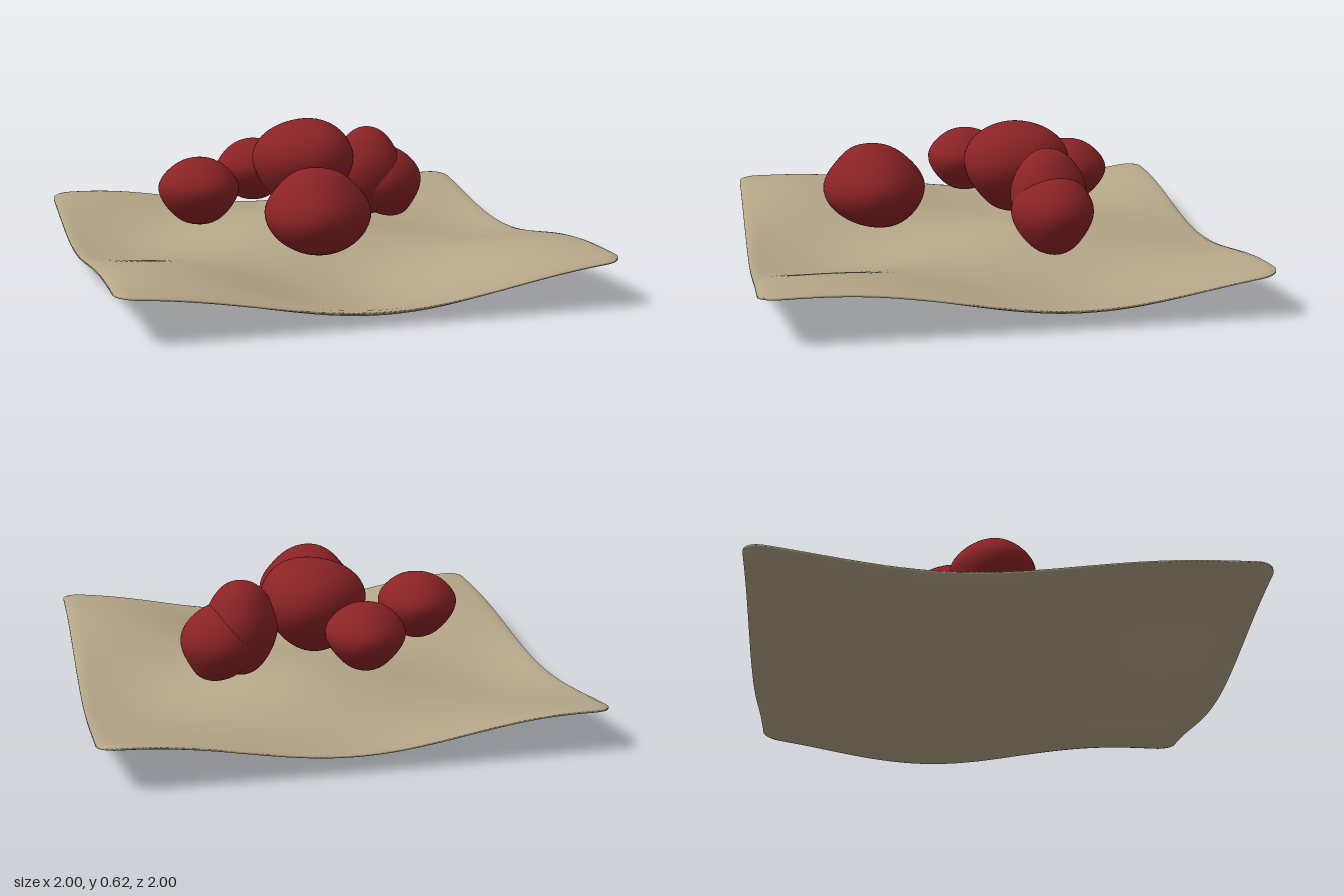
import * as THREE from 'three';
import { mergeVertices } from 'three/addons/utils/BufferGeometryUtils.js';

const clothColor = new THREE.MeshStandardMaterial({ color: 0xb5a688 });
clothColor.name = 'tan cloth';
const berryColor = new THREE.MeshStandardMaterial({ color: 0x8b2325 });
berryColor.name = 'dark red';

// Share vertices so that the whole surface is smooth
function smooth(geometry) {
  geometry.deleteAttribute('normal');
  geometry.deleteAttribute('uv');
  const merged = mergeVertices(geometry, 1e-5);
  merged.computeVertexNormals();
  return merged;
}

// Height of the middle of the cloth: crossed waves in a shallow bowl
function clothHeight(x, z) {
  const wave = (0.063 + 0.014 * z) * Math.cos(3.9 * (x - 0.03)) * Math.cos(3.4 * (z + 0.27));
  const back = 0.025 * Math.min(z, 0) ** 2;
  const front = 0.045 * x * x * Math.max(z, 0) ** 4;
  return 0.081 + 0.035 * x * x + wave + back + front;
}

// Thin sheet with rounded corners and a soft rim
function makeCloth() {
  const geometry = new THREE.BoxGeometry(2, 2, 2, 100, 2, 100);
  const p = geometry.attributes.position;
  const corner = 0.08;
  for (let i = 0; i < p.count; i++) {
    let x = p.getX(i), z = p.getZ(i);
    const rim = Math.min(1, (1 - Math.max(Math.abs(x), Math.abs(z))) / 0.06);
    const half = 0.004 + 0.008 * Math.sqrt(rim * (2 - rim));
    // Pull each square corner onto a quarter circle
    const a = Math.abs(x) - 1 + corner, b = Math.abs(z) - 1 + corner;
    if (a > 0 && b > 0) {
      const k = Math.max(a, b) / Math.hypot(a, b);
      x = Math.sign(x) * (1 - corner + a * k);
      z = Math.sign(z) * (1 - corner + b * k);
    }
    p.setXYZ(i, x, clothHeight(x, z) + p.getY(i) * half, z);
  }
  const cloth = new THREE.Mesh(smooth(geometry), clothColor);
  cloth.name = 'cloth';
  return cloth;
}

// Lumpy fruit: shift moves the widest ring, top and bottom taper each half,
// lobe and turn make the outline slightly three-cornered
function makeFruit({ name, at, size, shift = 0, top = 0, bottom = 0, lobe = 0, turn = 0, lean = [0, 0] }) {
  const geometry = new THREE.SphereGeometry(1, 48, 32);
  const p = geometry.attributes.position;
  for (let i = 0; i < p.count; i++) {
    const x = p.getX(i), y = p.getY(i), z = p.getZ(i);
    const taper = 1 - (y > 0 ? top : bottom) * 4 * y * y * (1 - y * y);
    const k = taper * (1 + lobe * Math.cos(3 * (Math.atan2(z, x) - turn)));
    const height = shift + y * (y > 0 ? 1 - shift : 1 + shift);
    p.setXYZ(i,
      size[0] * (x * k + lean[0] * y * y * y),
      size[1] * height,
      size[2] * (z * k + lean[1] * y * y * y));
  }
  const fruit = new THREE.Mesh(smooth(geometry), berryColor);
  fruit.name = name;
  fruit.position.set(...at);
  return fruit;
}

export function createModel() {
  const model = new THREE.Group();
  model.name = 'fruitOnCloth';
  model.add(makeCloth());

  const fruits = [
    { name: 'frontFruit', at: [-0.09, 0.33, 0.44], size: [0.215, 0.18, 0.22], shift: -0.05, top: 0.1, bottom: 0.02, lobe: 0.03, turn: 1.9, lean: [-0.05, 0.08] },
    { name: 'middleFruit', at: [0.02, 0.415, -0.155], size: [0.222, 0.198, 0.225], shift: 0.15, top: 0, bottom: 0.1, lobe: 0.035, turn: 1.0, lean: [0.08, 0] },
    { name: 'rightFruit', at: [-0.48, 0.345, -0.025], size: [0.17, 0.143, 0.175], shift: 0.12, top: 0.07, bottom: 0.08, lobe: 0.03, turn: -1.2 },
    { name: 'backFruit', at: [-0.145, 0.35, -0.43], size: [0.165, 0.14, 0.165], shift: 0.08, top: 0.07, bottom: 0.1, lobe: 0.03, turn: 0.7 },
    { name: 'leftTallFruit', at: [0.335, 0.355, -0.225], size: [0.152, 0.2, 0.158], shift: 0.05, top: 0.05, bottom: 0.06, lobe: 0.03, turn: 0.8 },
    { name: 'leftLowFruit', at: [0.42, 0.305, -0.23], size: [0.165, 0.165, 0.17], shift: 0.03, top: 0.05, bottom: 0.07, lobe: 0.02, turn: 0, lean: [-0.2, 0] },
  ];
  for (const fruit of fruits) model.add(makeFruit(fruit));
  return model;
}
